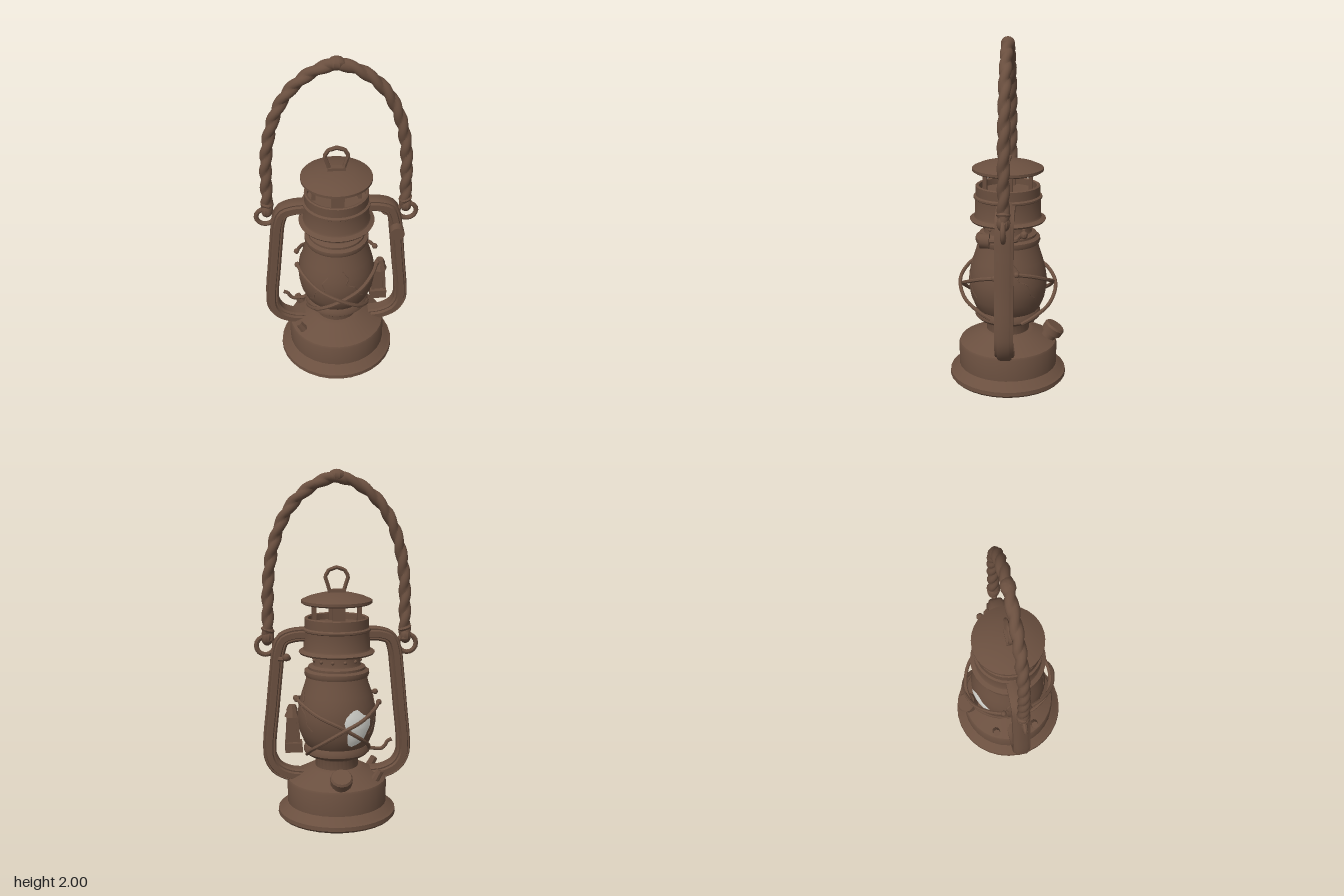
import * as THREE from 'three';
import { toCreasedNormals } from 'three/addons/utils/BufferGeometryUtils.js';

const V = (x, y, z = 0) => new THREE.Vector3(x, y, z);
const rust = new THREE.MeshStandardMaterial({ color: 0x6a4f3f });
rust.name = 'rusty brown';
const pale = new THREE.MeshStandardMaterial({ color: 0xdcdcd6 });
pale.name = 'pale glass';

// Globe outline as [radius, height]
const globe = [[0.165, 0.41], [0.19, 0.44], [0.215, 0.5], [0.226, 0.56], [0.228, 0.61], [0.219, 0.67],
  [0.203, 0.73], [0.186, 0.78], [0.17, 0.84]];
function globeRadius(y) {
  for (let i = 1; i < globe.length; i++) {
    const [r0, y0] = globe[i - 1], [r1, y1] = globe[i];
    if (y <= y1) return r0 + (r1 - r0) * (y - y0) / (y1 - y0);
  }
  return 0.17;
}
const onGlobe = (phi, y, lift) => {
  const r = globeRadius(y) + lift;
  return V(r * Math.sin(phi), y, r * Math.cos(phi));
};

// Sweeps a section (u, t, ring) -> [across, z] along a curve lying in the xy plane
function sweep(curve, rings, sides, section) {
  const pos = [], idx = [];
  for (let i = 0; i <= rings; i++) {
    const p = curve.getPointAt(i / rings), t = curve.getTangentAt(i / rings);
    for (let j = 0; j < sides; j++) {
      const [n, b] = section(j, i / rings);
      pos.push(p.x + t.y * n, p.y - t.x * n, p.z + b);
      if (i === rings) continue;
      const a = i * sides + j, c = i * sides + (j + 1) % sides;
      idx.push(a, a + sides, c, a + sides, c + sides, c);
    }
  }
  const g = new THREE.BufferGeometry();
  g.setAttribute('position', new THREE.Float32BufferAttribute(pos, 3));
  g.setIndex(idx);
  return g;
}

export function createModel() {
  const model = new THREE.Group();
  model.name = 'lantern';

  function add(name, geometry, x = 0, y = 0, z = 0, material = rust) {
    const mesh = new THREE.Mesh(toCreasedNormals(geometry, 0.6), material);
    mesh.name = name;
    mesh.position.set(x, y, z);
    model.add(mesh);
    return mesh;
  }
  const lathe = (name, pts, seg = 32) =>
    add(name, new THREE.LatheGeometry(pts.map(p => new THREE.Vector2(...p)), seg));
  const wire = (name, pts, r, closed = false, seg = 32) =>
    add(name, new THREE.TubeGeometry(new THREE.CatmullRomCurve3(pts, closed), seg, r, 7, closed));
  const ball = (name, p, r) => add(name, new THREE.SphereGeometry(r, 10, 8), p.x, p.y, p.z);

  // Fuel tank and burner
  lathe('tank', [[0, 0], [0.335, 0], [0.345, 0.012], [0.343, 0.035], [0.325, 0.045], [0.3, 0.072], [0.29, 0.078],
    [0.29, 0.205], [0.284, 0.218], [0.25, 0.236], [0.155, 0.287], [0.14, 0.293], [0, 0.293]]);
  lathe('burner', [[0.125, 0.27], [0.125, 0.345], [0.135, 0.36], [0.175, 0.368], [0.192, 0.385], [0.192, 0.405],
    [0.18, 0.425], [0.16, 0.425], [0, 0.42]]);

  // Globe, its cracks and the broken pane at the back
  lathe('globe', globe, 40);
  const patch = new THREE.RingGeometry(0.001, 1, 20, 5), pp = patch.attributes.position;
  for (let i = 0; i < pp.count; i++) {
    const x = pp.getX(i), y = pp.getY(i), a = Math.atan2(y, x);
    const k = 1 + 0.12 * Math.sin(3 * a + 1) + 0.08 * Math.sin(5 * a);
    const q = onGlobe(3.6 + x * k * 0.36, 0.565 + y * k * 0.105, 0.004);
    pp.setXYZ(i, q.x, q.y, q.z);
  }
  add('brokenPane', patch, 0, 0, 0, pale);
  const crack = [[0, 0.72], [0.12, 0.67], [0.05, 0.63], [0.25, 0.6], [0.3, 0.54], [0.42, 0.51]];
  for (const [turn, dy, s] of [[0.1, 0.02, 1], [-0.3, -0.02, -1], [1.8, 0.03, 1], [4.6, 0, -1]]) {
    const path = new THREE.CurvePath();
    const pts = crack.map(([a, y]) => onGlobe(turn + s * a * 1.4, y + dy, 0));
    for (let i = 1; i < pts.length; i++) path.add(new THREE.LineCurve3(pts[i - 1], pts[i]));
    add('crack', new THREE.TubeGeometry(path, 20, 0.004, 4));
  }

  // Collar, hood and cap
  lathe('collar', [[0.16, 0.825], [0.182, 0.83], [0.188, 0.845], [0.186, 0.862], [0.165, 0.872], [0.165, 0.885],
    [0.14, 0.895], [0.136, 0.905], [0.136, 0.975]]);
  for (let i = 0; i < 12; i++) {
    const a = (i + 0.5) * Math.PI / 6;
    ball('rivet', V(0.135 * Math.sin(a), 0.925, 0.135 * Math.cos(a)), 0.011);
  }
  lathe('hood', [[0.13, 0.962], [0.213, 0.962], [0.219, 0.972], [0.195, 0.985], [0.19, 0.995], [0.19, 1.09],
    [0.196, 1.095], [0.196, 1.105], [0.184, 1.112], [0.184, 1.165], [0.176, 1.17], [0.165, 1.165],
    [0.165, 1.13], [0, 1.13]]);
  for (let i = 0; i < 4; i++) {
    const a = i * Math.PI / 2;
    add('capPost', new THREE.BoxGeometry(0.07, 0.15, 0.022), 0.13 * Math.sin(a), 1.19, 0.13 * Math.cos(a))
      .rotation.y = a;
  }
  lathe('cap', [[0, 1.245], [0.19, 1.245], [0.203, 1.253], [0.203, 1.268], [0.16, 1.287], [0.1, 1.303],
    [0.04, 1.31], [0, 1.312]]);
  const loop = new THREE.CurvePath();
  const lp = [[-0.035, 1.3], [-0.05, 1.35], [-0.066, 1.4], [-0.045, 1.437], [0, 1.452], [0.045, 1.437],
    [0.066, 1.4], [0.05, 1.35], [0.035, 1.3]].map(p => V(...p));
  for (let i = 1; i < lp.length; i++) loop.add(new THREE.LineCurve3(lp[i - 1], lp[i]));
  add('capLoop', new THREE.TubeGeometry(loop, 32, 0.012, 6));
  add('loopFoot', new THREE.BoxGeometry(0.1, 0.025, 0.035), 0, 1.315, 0);

  // Side frames with a raised centre rib
  const frame = new THREE.CatmullRomCurve3([V(0.15, 1.075), V(0.25, 1.07), V(0.31, 1.045), V(0.336, 0.98),
    V(0.35, 0.87), V(0.372, 0.65), V(0.393, 0.43), V(0.388, 0.35), V(0.35, 0.285), V(0.28, 0.247), V(0.2, 0.235)]);
  const rib = [[0.04, -0.028], [0.04, 0.028], [0.03, 0.038], [0.022, 0.036], [0.016, 0.052], [-0.016, 0.052],
    [-0.022, 0.036], [-0.03, 0.038], [-0.036, 0.028], [-0.036, -0.028], [-0.03, -0.038], [-0.022, -0.036],
    [-0.016, -0.052], [0.016, -0.052], [0.022, -0.036], [0.03, -0.038]];
  for (const s of [1, -1]) {
    const side = s > 0 ? 'left' : 'right';
    add(side + 'Frame', sweep(frame, 48, rib.length, j => rib[j])).rotation.y = s > 0 ? 0 : Math.PI;
    add(side + 'HandleRing', new THREE.TorusGeometry(0.052, 0.014, 8, 16), s * 0.407, 1.01, 0);
    // Rope wrap on the ring
    add(side + 'RopeKnot', new THREE.SphereGeometry(0.038, 10, 8), s * 0.397, 1.055, 0).scale.set(0.9, 1.2, 1);
    const wrap = add(side + 'RopeWrap', new THREE.TorusGeometry(0.028, 0.012, 6, 14), s * 0.393, 1.1, 0);
    wrap.rotation.set(Math.PI / 2, 0.3 * s, 0);
  }

  // Twisted rope handle
  const half = [[0.393, 1.04], [0.392, 1.2], [0.387, 1.38], [0.366, 1.53], [0.325, 1.67], [0.26, 1.79],
    [0.17, 1.88], [0.08, 1.932]];
  const ropePath = new THREE.CatmullRomCurve3([...half.map(([x, y]) => V(-x, y)), V(0, 1.95),
    ...half.slice().reverse().map(([x, y]) => V(x, y))]);
  add('ropeHandle', sweep(ropePath, 180, 14, (j, u) => {
    const a = j / 14 * Math.PI * 2, r = 0.025 + 0.011 * Math.abs(Math.sin(a * 1 + u * 62));
    return [r * Math.cos(a), r * Math.sin(a)];
  }));
  add('topKnot', new THREE.SphereGeometry(0.04, 10, 8), 0, 1.957, 0).scale.set(1.2, 0.95, 1);

  // Crossed guard wires round the globe
  for (const sx of [1, -1]) for (const sz of [1, -1]) {
    const pts = [[-0.235, 0.695, 0.07], [-0.2, 0.675, 0.15], [-0.12, 0.63, 0.235], [0, 0.575, 0.272],
      [0.11, 0.5, 0.235], [0.165, 0.44, 0.15], [0.18, 0.4, 0.08]].map(([x, y, z]) =>
      V(sx * x, y + 0.012 * sx * sz, sz * (z + 0.008 * sx)));
    wire('guardWire', pts, 0.011);
    ball('guardWireEnd', pts[0], 0.017);
  }

  // Filler cap on the back of the tank
  const filler = add('fillerCap', new THREE.LatheGeometry([[0, -0.07], [0.045, -0.07], [0.045, -0.01], [0.062, -0.01],
    [0.064, 0.03], [0.055, 0.042], [0, 0.042]].map(p => new THREE.Vector2(...p)), 14), 0, 0.275, -0.262);
  filler.rotation.x = -0.55;

  // Small plugs on the tank shoulder
  for (const s of [1, -1]) {
    add('tankPlug', new THREE.CylinderGeometry(0.022, 0.026, 0.06, 8), -0.225, 0.26, s * 0.125).rotation.z = 0.5;
  }

  // Wick lever on the right
  wire('wickLever', [V(-0.13, 0.39), V(-0.2, 0.385), V(-0.265, 0.382), V(-0.285, 0.4), V(-0.3, 0.425),
    V(-0.325, 0.437)], 0.011);

  // Hanging latch on the left
  add('latchBase', new THREE.BoxGeometry(0.1, 0.055, 0.085), 0.252, 0.41, 0);
  add('latchBody', new THREE.BoxGeometry(0.05, 0.17, 0.035), 0.257, 0.51, 0);
  for (const s of [1, -1]) {
    add('latchPost', new THREE.BoxGeometry(0.016, 0.17, 0.055), 0.257 + s * 0.03, 0.515, 0).rotation.z = s * 0.06;
  }
  add('latchTop', new THREE.CylinderGeometry(0.028, 0.045, 0.04, 8), 0.26, 0.61, 0);
  add('latchKnob', new THREE.CylinderGeometry(0.022, 0.034, 0.03, 8), 0.26, 0.643, 0);

  // Lift knob with its stem and the bent rod behind
  const knob = add('liftKnob', new THREE.CylinderGeometry(0.042, 0.042, 0.052, 12), 0.338, 0.938, 0.106);
  const stem = add('liftStem', new THREE.CylinderGeometry(0.015, 0.015, 0.12, 8), 0.338, 0.938, 0.04);
  knob.rotation.x = stem.rotation.x = Math.PI / 2;
  wire('liftRod', [V(0.33, 0.94, 0), V(0.325, 0.94, -0.06), V(0.3, 0.945, -0.07), V(0.28, 0.95, -0.085),
    V(0.29, 0.96, -0.105)], 0.014);
  ball('liftRodEnd', V(0.293, 0.96, -0.105), 0.022);

  return model;
}
